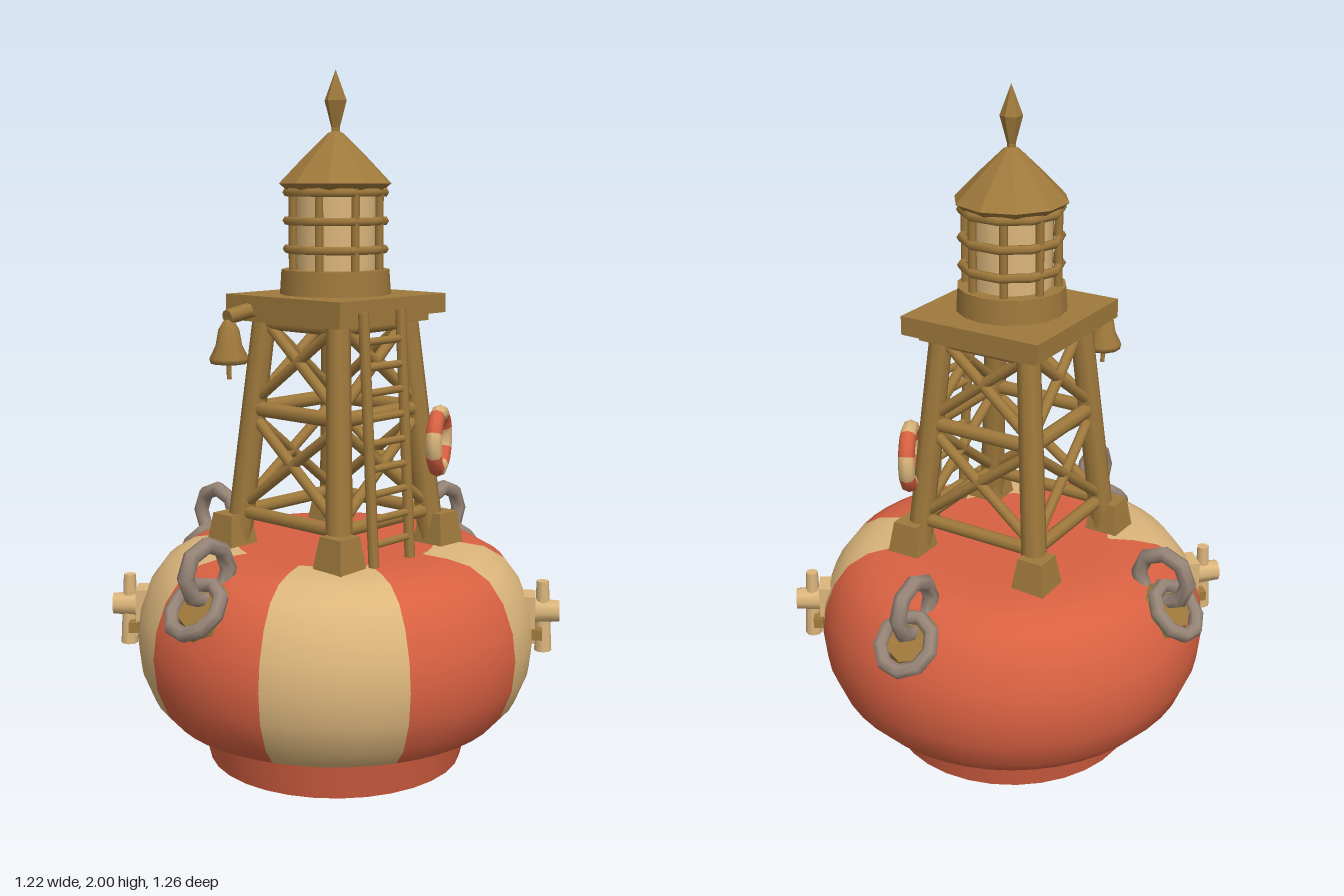
import * as THREE from 'three';

const mat = (name, color) => Object.assign(new THREE.MeshStandardMaterial({ color }), { name });
const red = mat('red paint', 0xd96142);
const cream = mat('cream paint', 0xdcb67c);
const brass = mat('weathered brass', 0x9f793c);
const steel = mat('chain grey', 0x978577);
const V = (x, y, z) => new THREE.Vector3(x, y, z);
const rad = THREE.MathUtils.degToRad;

function add(parent, name, geometry, material, x = 0, y = 0, z = 0) {
  const m = new THREE.Mesh(geometry, material);
  m.name = name;
  m.position.set(x, y, z);
  parent.add(m);
  return m;
}

function faceted(g) {
  const f = g.index ? g.toNonIndexed() : g;
  f.computeVertexNormals();
  return f;
}

// round bar between two points
function bar(parent, name, a, b, r, material = brass, r2 = r, sides = 8) {
  const d = b.clone().sub(a);
  const m = add(parent, name, new THREE.CylinderGeometry(r2, r, d.length(), sides), material);
  m.position.copy(a).addScaledVector(d, 0.5);
  m.quaternion.setFromUnitVectors(V(0, 1, 0), d.normalize());
  return m;
}

function lathe(points, seg = 32, start = 0, len = Math.PI * 2) {
  return new THREE.LatheGeometry(points.map(p => new THREE.Vector2(...p)), seg, start, len);
}

function group(parent, name) {
  const g = new THREE.Group();
  g.name = name;
  parent.add(g);
  return g;
}

// striped float body on a tapered base
function buildFloat(root) {
  const g = group(root, 'float');
  add(g, 'base', new THREE.CylinderGeometry(0.41, 0.375, 0.14, 32), red, 0, 0.07, 0);
  const profile = [[0.36, 0.115], [0.43, 0.12], [0.49, 0.14], [0.54, 0.195], [0.575, 0.28], [0.585, 0.37],
    [0.575, 0.45], [0.545, 0.53], [0.5, 0.59], [0.44, 0.625], [0.37, 0.637], [0.29, 0.64]];
  const edges = [-62, -17.5, 22.6, 62.5, 101.8, 133, 298];
  for (let i = 0; i < 6; i++) {
    const len = edges[i + 1] - edges[i];
    add(g, 'floatStripe', lathe(profile, Math.ceil(len / 8), rad(edges[i]), rad(len)), i % 2 ? red : cream);
  }
  const deck = add(g, 'deck', new THREE.CircleGeometry(0.295, 32), red, 0, 0.639, 0);
  deck.rotation.x = -Math.PI / 2;
}

// mooring link pairs on the shoulder of the float
function buildMooring(root, angle) {
  const g = group(root, 'mooring');
  g.rotation.y = rad(angle);
  const pad = add(g, 'mooringPad', new THREE.CylinderGeometry(0.075, 0.095, 0.05, 8), brass, 0, 0.55, 0.52);
  pad.rotation.x = Math.PI / 4;
  const lower = add(g, 'lowerLink', new THREE.TorusGeometry(0.08, 0.022, 7, 9), steel, 0, 0.555, 0.555);
  lower.rotation.x = -Math.PI / 4;
  const upper = add(g, 'upperLink', new THREE.TorusGeometry(0.078, 0.024, 7, 8), steel, 0, 0.645, 0.51);
  upper.rotation.y = Math.PI / 2;
}

// side cleat with a vertical horn
function buildCleat(root, angle) {
  const g = group(root, 'cleat');
  g.rotation.y = rad(angle);
  add(g, 'cleatPlate', new THREE.BoxGeometry(0.08, 0.14, 0.04), cream, 0, 0.43, 0.57);
  bar(g, 'cleatPost', V(0, 0.45, 0.55), V(0, 0.45, 0.66), 0.04, cream, 0.032);
  bar(g, 'cleatHorn', V(0, 0.33, 0.615), V(0, 0.54, 0.61), 0.025, cream, 0.018);
  add(g, 'cleatPin', new THREE.BoxGeometry(0.11, 0.03, 0.03), brass, 0, 0.39, 0.595);
}

const half = y => 0.203 - 0.087 * (y - 0.63);

// four legs with braced sides and a platform
function buildTower(root) {
  const g = group(root, 'tower');
  for (let i = 0; i < 4; i++) {
    const side = group(g, 'towerSide');
    side.rotation.y = i * Math.PI / 2;
    const at = (s, y) => V(s * half(y), y, half(y));
    bar(side, 'leg', at(1, 0.63), at(1, 1.33), 0.038, brass, 0.034);
    const foot = add(side, 'foot', faceted(new THREE.CylinderGeometry(0.055, 0.078, 0.11, 4, 1)), brass, 0.215, 0.675, 0.215);
    foot.geometry.rotateY(Math.PI / 4);
    for (const [y, r] of [[0.735, 0.02], [1.04, 0.022], [1.29, 0.02]]) {
      bar(side, 'crossRail', at(-1, y), at(1, y), r);
    }
    for (const [y0, y1] of [[0.75, 1.02], [1.06, 1.3]]) {
      bar(side, 'brace', at(-1, y0), at(1, y1), 0.016);
      bar(side, 'brace', at(1, y0), at(-1, y1), 0.016);
    }
  }
  add(g, 'platform', new THREE.BoxGeometry(0.445, 0.055, 0.45), brass, 0, 1.345, -0.003);
  add(g, 'platformFrame', new THREE.BoxGeometry(0.38, 0.03, 0.38), brass, 0, 1.31, 0);
}

function buildLadder(root) {
  const g = group(root, 'ladder');
  const at = (z, y) => V(0.275 - 0.06 * (y - 0.63), y, z);
  for (const z of [-0.015, 0.14]) bar(g, 'ladderRail', at(z, 0.63), at(z, 1.34), 0.015);
  for (let y = 0.7; y < 1.32; y += 0.07) bar(g, 'rung', at(-0.015, y), at(0.14, y), 0.011);
}

// caged lamp under a pointed roof
function buildLantern(root) {
  const g = group(root, 'lantern');
  add(g, 'lanternBase', new THREE.CylinderGeometry(0.155, 0.16, 0.075, 16), brass, 0, 1.405, 0);
  add(g, 'lamp', new THREE.CylinderGeometry(0.115, 0.115, 0.25, 20), cream, 0, 1.56, 0);
  for (const y of [1.5, 1.58, 1.66]) {
    const ring = add(g, 'cageRing', new THREE.TorusGeometry(0.14, 0.013, 6, 10), brass, 0, y, 0);
    ring.rotation.x = Math.PI / 2;
  }
  for (let i = 0; i < 8; i++) {
    const a = (i + 0.5) * Math.PI / 4, x = 0.132 * Math.sin(a), z = 0.132 * Math.cos(a);
    bar(g, 'cageBar', V(x, 1.43, z), V(x, 1.68, z), 0.012, brass, 0.012, 6);
  }
  add(g, 'roof', faceted(lathe([[0, 1.665], [0.14, 1.665], [0.163, 1.685], [0.09, 1.76], [0.022, 1.825], [0, 1.835]], 10)), brass);
  add(g, 'finial', faceted(lathe([[0.014, 1.8], [0.012, 1.84], [0.032, 1.915], [0, 2]], 6)), brass);
}

function buildBell(root) {
  const g = group(root, 'bell');
  g.position.set(-0.14, 0, 0.29);
  bar(g, 'bellBracket', V(0.01, 1.335, -0.1), V(0, 1.315, 0.005), 0.022);
  const shell = add(g, 'bellShell', lathe([[0, 1.19], [0.052, 1.185], [0.056, 1.2], [0.038, 1.235], [0.03, 1.28], [0.015, 1.305], [0, 1.31]], 10), brass);
  shell.name = 'bellShell';
  bar(g, 'clapper', V(0, 1.14, 0), V(0, 1.2, 0), 0.007);
}

// ring hung on the rear corner, in alternating colours
function buildLifeRing(root) {
  const g = group(root, 'lifeRing');
  g.position.set(0.215, 0.94, -0.215);
  g.rotation.y = Math.atan2(0.85, -0.45);
  for (let i = 0; i < 8; i++) {
    const arc = add(g, 'ringSegment', new THREE.TorusGeometry(0.082, 0.024, 8, 4, Math.PI / 4), i % 2 ? cream : red);
    arc.rotation.z = (i + 0.5) * Math.PI / 4;
  }
}

export function createModel() {
  const model = new THREE.Group();
  model.name = 'buoy';
  const root = group(model, 'buoyParts');
  root.position.x = 0.013;
  buildFloat(root);
  for (const a of [0, 180, -90]) buildMooring(root, a);
  for (const a of [-47, 126]) buildCleat(root, a);
  buildTower(root);
  buildLadder(root);
  buildLantern(root);
  buildBell(root);
  buildLifeRing(root);
  return model;
}
